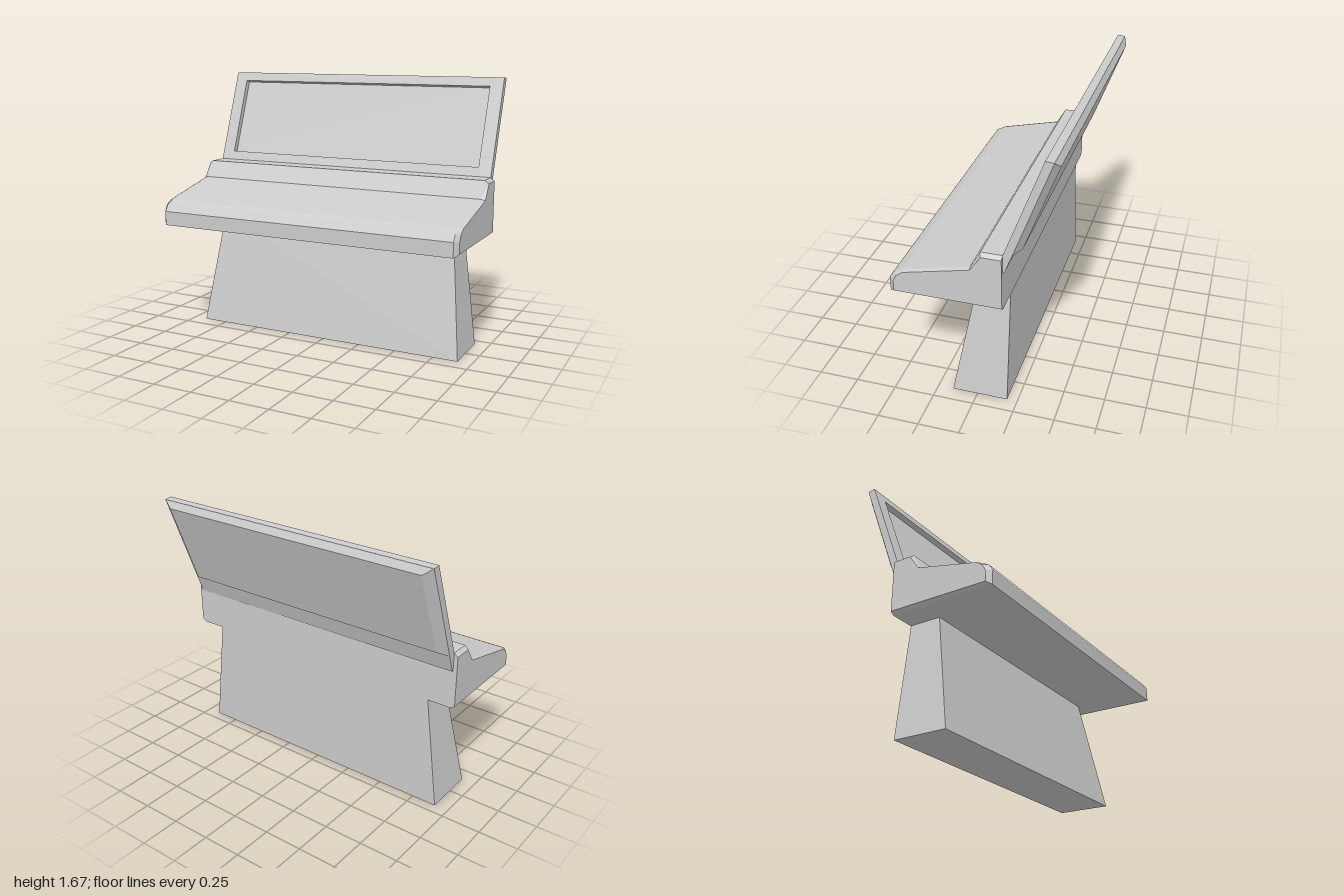
import * as THREE from 'three';

const material = new THREE.MeshStandardMaterial({ color: 0xcccccc, flatShading: true });

// Closed solid through sections [depth, points]; points run counter-clockwise,
// sections run from the +z end to the -z end.
function loft(name, sections) {
  const rings = sections.map(([d, pts]) => pts.map(([a, b]) => [a, b, d]));
  const n = rings[0].length;
  const out = [];
  const tri = (a, b, c) => out.push(...a, ...b, ...c);
  for (let k = 0; k < rings.length - 1; k++) {
    const r = rings[k], s = rings[k + 1];
    for (let i = 0; i < n; i++) {
      const j = (i + 1) % n;
      tri(r[i], s[i], s[j]);
      tri(r[i], s[j], r[j]);
    }
  }
  const cap = (ring, flip) => {
    const contour = ring.map(([a, b]) => new THREE.Vector2(a, b));
    for (const [a, b, c] of THREE.ShapeUtils.triangulateShape(contour, [])) {
      if (flip) tri(ring[a], ring[c], ring[b]);
      else tri(ring[a], ring[b], ring[c]);
    }
  };
  cap(rings[0], false);
  cap(rings[rings.length - 1], true);
  const geometry = new THREE.BufferGeometry();
  geometry.setAttribute('position', new THREE.Float32BufferAttribute(out, 3));
  geometry.computeVertexNormals();
  const mesh = new THREE.Mesh(geometry, material);
  mesh.name = name;
  return mesh;
}

const rect = (halfWidth, low, high) => [
  [-halfWidth, low], [halfWidth, low], [halfWidth, high], [-halfWidth, high],
];

export function createModel() {
  const model = new THREE.Group();
  model.name = 'controlConsole';

  // Tapered pedestal, upright at the back (local y becomes -z, local z becomes y)
  const pedestal = loft('pedestal', [
    [0.73, rect(0.82, -0.015, 0.187)],
    [0, rect(0.91, -0.155, 0.187)],
  ]);
  pedestal.rotation.x = -Math.PI / 2;
  model.add(pedestal);

  // Desk: side profile swept along x with chamfered ends (local x is -z)
  const full = [
    [-0.48, 0.72], [0.19, 0.72], [0.19, 1.075], [0.065, 1.075],
    [0.005, 0.97], [-0.4, 0.877], [-0.455, 0.848], [-0.48, 0.81],
  ];
  const inset = [
    [-0.45, 0.737], [0.19, 0.737], [0.19, 1.056], [0.073, 1.056],
    [0.01, 0.963], [-0.39, 0.871], [-0.43, 0.842], [-0.45, 0.802],
  ];
  const desk = loft('desk', [[1, inset], [0.975, full], [-0.975, full], [-1, inset]]);
  desk.rotation.y = Math.PI / 2;
  model.add(desk);

  // Tilted display: framed panel with a recessed screen, and a bevelled back housing
  const display = new THREE.Group();
  display.name = 'display';
  display.add(loft('screenPanel', [
    [-0.035, rect(0.89, 0.059, 0.577)],
    [0, rect(0.89, 0.059, 0.577)],
    [0, rect(0.975, -0.105, 0.636)],
    [-0.047, rect(0.975, -0.105, 0.648)],
  ]));
  display.add(loft('backHousing', [
    [-0.046, rect(0.975, 0.016, 0.648)],
    [-0.082, rect(0.915, 0.057, 0.614)],
  ]));
  display.position.set(0, 1.075, -0.19);
  display.rotation.x = -0.361;
  model.add(display);

  return model;
}
